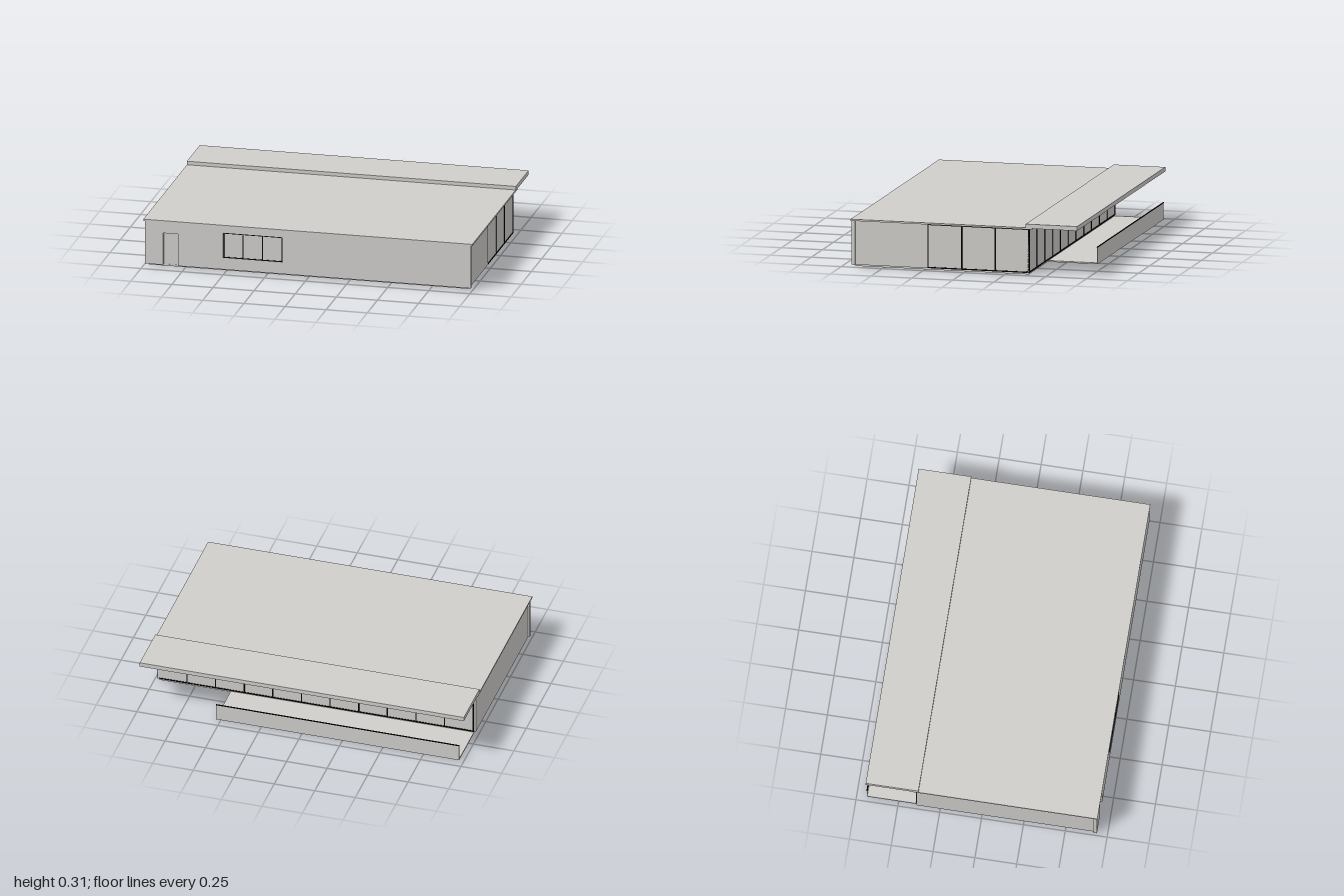
import * as THREE from 'three';

const concrete = new THREE.MeshStandardMaterial({ color: 0xd0cecb });
concrete.name = 'pale grey';
const black = new THREE.MeshStandardMaterial({ color: 0x050505 });
black.name = 'black frame';

// Box given by its limits on each axis
function slab(parent, name, [x0, x1], [y0, y1], [z0, z1], material = concrete) {
  const mesh = new THREE.Mesh(new THREE.BoxGeometry(x1 - x0, y1 - y0, z1 - z0), material);
  mesh.position.set((x0 + x1) / 2, (y0 + y1) / 2, (z0 + z1) / 2);
  mesh.name = name;
  parent.add(mesh);
  return mesh;
}

// Glazed unit in its own XY plane, centred on x, outer face towards +z at z = 0
function glazing(name, width, y0, y1, panels, bar, inset) {
  const group = new THREE.Group();
  group.name = name;
  const h = width / 2;
  slab(group, 'pane', [-h, h], [y0, y1], [-0.012, -inset]);
  for (let i = 0; i <= panels; i++) {
    const x = -h + bar / 2 + ((width - bar) * i) / panels;
    slab(group, 'mullion', [x - bar / 2, x + bar / 2], [y0, y1], [-0.01, 0], black);
  }
  slab(group, 'bottomRail', [-h, h], [y0, y0 + bar], [-0.01, 0], black);
  slab(group, 'topRail', [-h, h], [y1 - bar, y1], [-0.01, 0], black);
  return group;
}

function rectHole(x0, x1, y0, y1) {
  return new THREE.Path().moveTo(x0, y0).lineTo(x0, y1).lineTo(x1, y1).lineTo(x1, y0).closePath();
}

export function createModel() {
  const house = new THREE.Group();
  house.name = 'house';

  // Floor slab and the shorter rear terrace
  slab(house, 'floorSlab', [-0.97, 0.97], [0.003, 0.013], [-0.39, 0.67]);
  slab(house, 'terraceSlab', [-0.97, 0.53], [0, 0.008], [-0.69, -0.39]);
  slab(house, 'terraceParapet', [-0.97, 0.53], [0.008, 0.1], [-0.69, -0.687]);
  slab(house, 'parapetCap', [-0.97, 0.53], [0.1, 0.104], [-0.692, -0.685], black);

  // Flat main roof and the raised rear canopy
  slab(house, 'mainRoof', [-1, 1], [0.278, 0.288], [-0.415, 0.692]);
  slab(house, 'rearCanopy', [-1, 1], [0.284, 0.31], [-0.692, -0.377]);

  // Front wall with door and window openings
  const outline = new THREE.Shape();
  outline.moveTo(-0.99, 0.013).lineTo(-0.88, 0.013).lineTo(-0.88, 0.21).lineTo(-0.79, 0.21)
    .lineTo(-0.79, 0.013).lineTo(0.99, 0.013).lineTo(0.99, 0.278).lineTo(-0.99, 0.278).closePath();
  outline.holes.push(rectHole(-0.515, -0.155, 0.085, 0.24));
  const frontWall = new THREE.Mesh(
    new THREE.ExtrudeGeometry(outline, { depth: 0.02, bevelEnabled: false }), concrete);
  frontWall.position.z = 0.668;
  frontWall.name = 'frontWall';
  house.add(frontWall);
  slab(house, 'frontDoor', [-0.88, -0.79], [0.013, 0.21], [0.662, 0.668]);

  const frontWindow = glazing('frontWindow', 0.36, 0.085, 0.24, 3, 0.005, 0.004);
  frontWindow.position.set(-0.335, 0, 0.687);
  house.add(frontWindow);

  // Side walls: one plain, one shortened for the glazed corner
  slab(house, 'rightWall', [-0.982, -0.968], [0.013, 0.278], [-0.39, 0.668]);
  slab(house, 'leftWall', [0.968, 0.98], [0.013, 0.278], [0.228, 0.668]);

  const sideGlazing = glazing('sideGlazing', 0.623, 0.013, 0.278, 3, 0.007, 0.003);
  sideGlazing.rotation.y = Math.PI / 2;
  sideGlazing.position.set(0.98, 0, -0.0835);
  house.add(sideGlazing);

  const rearGlazing = glazing('rearGlazing', 1.95, 0.013, 0.278, 11, 0.007, 0.003);
  rearGlazing.rotation.y = Math.PI;
  rearGlazing.position.set(0.005, 0, -0.395);
  house.add(rearGlazing);

  return house;
}
